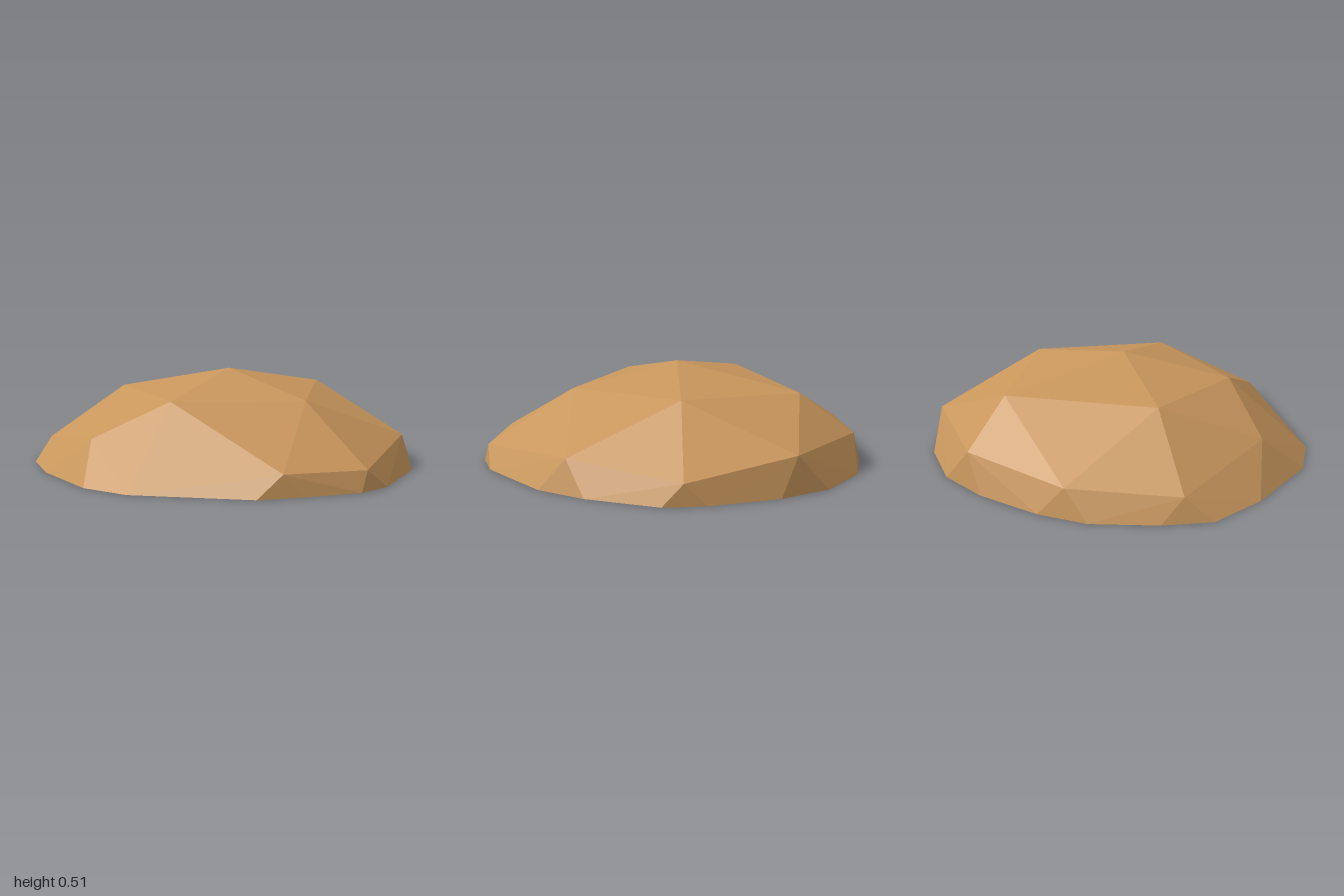
import * as THREE from 'three';
import { ConvexGeometry } from 'three/addons/geometries/ConvexGeometry.js';

export function createModel() {
  const group = new THREE.Group();
  group.name = 'boulder';

  const sandstone = new THREE.MeshStandardMaterial({ color: 0xc8965c });
  sandstone.name = 'sandstone';

  // Outline on the ground (x, z)
  const base = [
    [-0.2, -0.99], [0.17, -0.99], [0.38, -0.94], [0.68, -0.69], [0.85, -0.47],
    [1.0, -0.02], [0.99, 0.18], [0.85, 0.43], [0.72, 0.63], [0.19, 0.95],
    [-0.08, 0.98], [-0.52, 0.85], [-0.8, 0.69], [-0.91, 0.46], [-1.0, 0.13],
    [-0.98, -0.13], [-0.88, -0.47], [-0.74, -0.72], [-0.48, -0.92],
  ].map(([x, z]) => [x, 0, z]);

  // Corners of the steep lower band
  const flank = [
    [-0.96, 0.145, 0.0], [-0.83, 0.12, 0.55], [-0.23, 0.2, 0.79],
    [0.78, 0.11, 0.51], [0.98, 0.1, 0.12], [0.73, 0.165, -0.55],
    [0.28, 0.11, -0.965], [-0.3, 0.19, -0.95], [-0.79, 0.18, -0.57],
  ];

  // Shoulder ring and peak
  const crown = [
    [-0.49, 0.41, 0.32], [0.08, 0.39, 0.54], [0.54, 0.385, 0.04],
    [0.15, 0.41, -0.56], [-0.52, 0.39, -0.48], [-0.02, 0.51, -0.01],
  ];

  // Faceted stone wrapped around the corners
  const points = [...base, ...flank, ...crown].map((p) => new THREE.Vector3(...p));
  const stone = new THREE.Mesh(new ConvexGeometry(points), sandstone);
  stone.name = 'stone';
  group.add(stone);

  return group;
}
